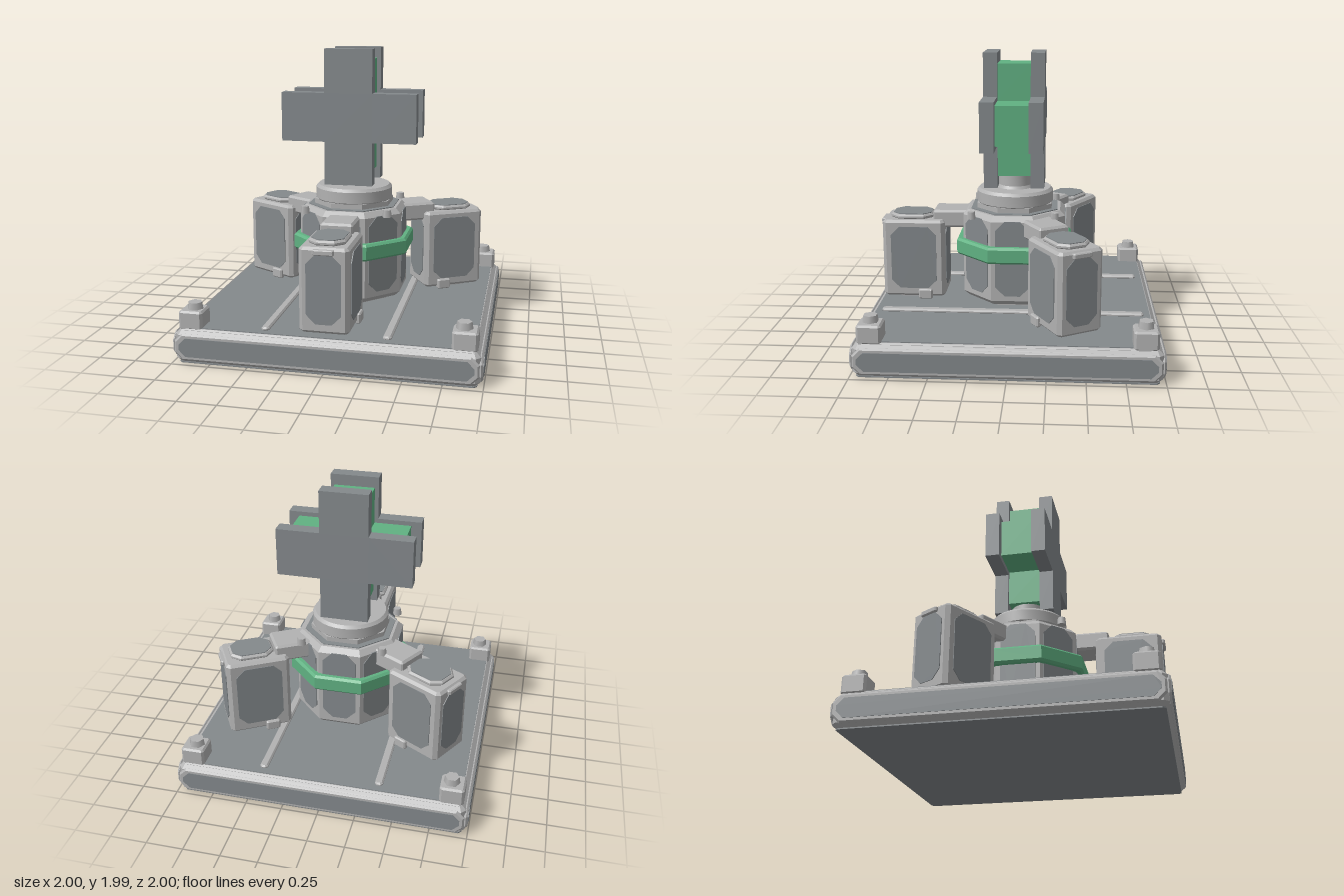
import * as THREE from 'three';
import { toCreasedNormals } from 'three/addons/utils/BufferGeometryUtils.js';

const lightGrey = new THREE.MeshStandardMaterial({ name: 'lightGrey', color: 0xb2b2b2 });
const slateGrey = new THREE.MeshStandardMaterial({ name: 'slateGrey', color: 0x84898c });
const green = new THREE.MeshStandardMaterial({ name: 'green', color: 0x60b182 });
const OCT = 0.2929; // corner cut of a regular octagon, as a share of its width

function extrude(points, depth, bevel = 0) {
  const shape = new THREE.Shape(points.map(([x, y]) => new THREE.Vector2(x, y)));
  const geo = new THREE.ExtrudeGeometry(shape, {
    depth: depth - 2 * bevel, bevelEnabled: bevel > 0, bevelSize: bevel,
    bevelThickness: bevel, bevelOffset: -bevel, bevelSegments: 1,
  });
  return geo.translate(0, 0, bevel);
}

// Rectangle with cut corners, extruded from z = 0 to z = t
function plate(w, h, t, cut, bevel = 0) {
  const x = w / 2, y = h / 2, c = cut;
  return extrude([[x, -y + c], [x, y - c], [x - c, y], [-x + c, y],
    [-x, y - c], [-x, -y + c], [-x + c, -y], [x - c, -y]], t, bevel);
}

// The same, standing upright between two heights
function block(w, d, y0, y1, cut, bevel = 0) {
  return plate(w, d, y1 - y0, cut, bevel).rotateX(-Math.PI / 2).translate(0, y0, 0);
}

function add(parent, name, geo, mat, x = 0, y = 0, z = 0) {
  const mesh = new THREE.Mesh(geo, mat);
  mesh.name = name;
  mesh.position.set(x, y, z);
  parent.add(mesh);
  return mesh;
}

function turned(parent, name, angle) {
  const g = new THREE.Group();
  g.name = name;
  g.rotation.y = angle;
  parent.add(g);
  return g;
}

function lathe(profile) {
  const pts = profile.map(([r, y]) => new THREE.Vector2(r, y));
  return toCreasedNormals(new THREE.LatheGeometry(pts, 32), 0.5);
}

function hexBolt(parent, r, y0, y1, x, z) {
  add(parent, 'bolt', new THREE.CylinderGeometry(r * 0.85, r, y1 - y0, 6).rotateY(Math.PI / 6),
    lightGrey, x, (y0 + y1) / 2, z);
}

function buildBase(model) {
  const base = turned(model, 'base', 0);
  add(base, 'baseSlab', block(1.96, 1.96, 0.006, 0.225, 0.03, 0.03), lightGrey);
  add(base, 'baseUnderside', block(1.92, 1.92, 0, 0.008, 0.02), slateGrey);
  add(base, 'topRim', block(1.91, 1.91, 0.2, 0.232, 0.02, 0.01), lightGrey);
  add(base, 'deckPlate', block(1.88, 1.88, 0.23, 0.237, 0.02), slateGrey);
  // Framed panel along each edge
  for (let i = 0; i < 4; i++) {
    const edge = turned(base, 'edgePanel', i * Math.PI / 2);
    add(edge, 'edgeFrame', plate(1.95, 0.18, 0.025, 0.05, 0.012), lightGrey, 0, 0.118, 0.97);
    add(edge, 'edgeInset', plate(1.89, 0.125, 0.006, 0.045), slateGrey, 0, 0.118, 0.993);
  }
  for (const x of [-1, 1]) {
    add(base, 'deckRail', block(0.055, 1.79, 0.23, 0.258, 0.015, 0.01), lightGrey, x * 0.395);
    for (const z of [-1, 1]) {
      add(base, 'cornerBlock', block(0.16, 0.16, 0.22, 0.345, 0.015, 0.012), lightGrey, x * 0.88, 0, z * 0.87);
      hexBolt(base, 0.055, 0.34, 0.39, x * 0.87, z * 0.87);
    }
  }
}

function buildCore(model) {
  const core = turned(model, 'core', 0);
  add(core, 'coreFoot', block(0.5, 0.5, 0.23, 0.28, 0.5 * OCT), lightGrey);
  add(core, 'coreBody', block(0.71, 0.71, 0.27, 0.9, 0.71 * OCT, 0.035), lightGrey);
  add(core, 'coreTopInset', block(0.6, 0.6, 0.898, 0.906, 0.6 * OCT), slateGrey);
  add(core, 'coreCollar', block(0.52, 0.52, 0.9, 0.94, 0.52 * OCT), lightGrey);
  for (let i = 0; i < 8; i++) {
    const side = turned(core, 'coreSide', i * Math.PI / 4);
    add(side, 'coreWindow', plate(0.235, 0.53, 0.008, 0.065), slateGrey, 0, 0.605, 0.352);
  }
  add(core, 'greenBand', block(0.8, 0.8, 0.58, 0.695, 0.8 * OCT, 0.015), green);
  for (const x of [-0.285, 0.285]) for (const z of [-0.285, 0.285]) hexBolt(core, 0.032, 0.87, 0.92, x, z);
  // Turntable and neck
  add(core, 'turntable', lathe([[0, 0.925], [0.25, 0.925], [0.268, 0.945], [0.268, 1.02],
    [0.25, 1.04], [0, 1.04]]), lightGrey);
  add(core, 'neck', lathe([[0.13, 1.035], [0.115, 1.06], [0.115, 1.145], [0, 1.145]]), lightGrey);
}

function buildPod(model, angle) {
  const pod = turned(model, 'pod', angle);
  const zc = 0.71;
  add(pod, 'podBody', block(0.325, 0.44, 0.258, 0.815, 0.025, 0.018), lightGrey, 0, 0, zc);
  add(pod, 'podFoot', block(0.2, 0.26, 0.22, 0.27, 0.03), lightGrey, 0, 0, zc);
  add(pod, 'podCap', block(0.24, 0.3, 0.81, 0.846, 0.06, 0.012), lightGrey, 0, 0, 0.73);
  add(pod, 'podCapInset', block(0.21, 0.27, 0.844, 0.851, 0.055), slateGrey, 0, 0, 0.73);
  // Windows on all four walls
  for (let i = 0; i < 4; i++) {
    const wall = turned(pod, 'podWall', i * Math.PI / 2);
    wall.position.z = zc;
    const wide = i % 2 === 1;
    add(wall, 'podWindow', plate(wide ? 0.32 : 0.225, 0.45, 0.008, 0.06), slateGrey,
      0, 0.545, wide ? 0.16 : 0.217);
  }
  // Small clamps near the bottom and top edges
  for (const s of [-1, 1]) {
    add(pod, 'sideClamp', block(0.04, 0.1, 0.245, 0.315, 0.01, 0.008), lightGrey, s * 0.165, 0, 0.63);
  }
  add(pod, 'frontClamp', block(0.14, 0.04, 0.77, 0.805, 0.01, 0.006), lightGrey, 0, 0, 0.93);
  // Arm joining the pod to the core
  add(pod, 'arm', block(0.22, 0.29, 0.755, 0.88, 0.01, 0.015), lightGrey, 0, 0, 0.43);
}

// Cross outline: stem half-width s, arm half-length a, heights from bottom to top
function crossPoints(s, a, y0, y1, y2, y3) {
  return [[s, y0], [s, y1], [a, y1], [a, y2], [s, y2], [s, y3],
    [-s, y3], [-s, y2], [-a, y2], [-a, y1], [-s, y1], [-s, y0]];
}

function buildCross(model) {
  const cross = turned(model, 'crossSign', 0);
  const outer = extrude(crossPoints(0.165, 0.464, 1.06, 1.357, 1.69, 1.985), 0.095);
  add(cross, 'frontCross', outer, slateGrey, 0, 0, 0.113);
  add(cross, 'backCross', outer, slateGrey, 0, 0, -0.208);
  add(cross, 'greenCross', extrude(crossPoints(0.138, 0.392, 1.14, 1.39, 1.66, 1.91), 0.23), green, 0, 0, -0.115);
}

export function createModel() {
  const model = new THREE.Group();
  model.name = 'crossBeacon';
  buildBase(model);
  buildCore(model);
  for (let i = 0; i < 3; i++) buildPod(model, i * Math.PI * 2 / 3);
  buildCross(model);
  return model;
}
